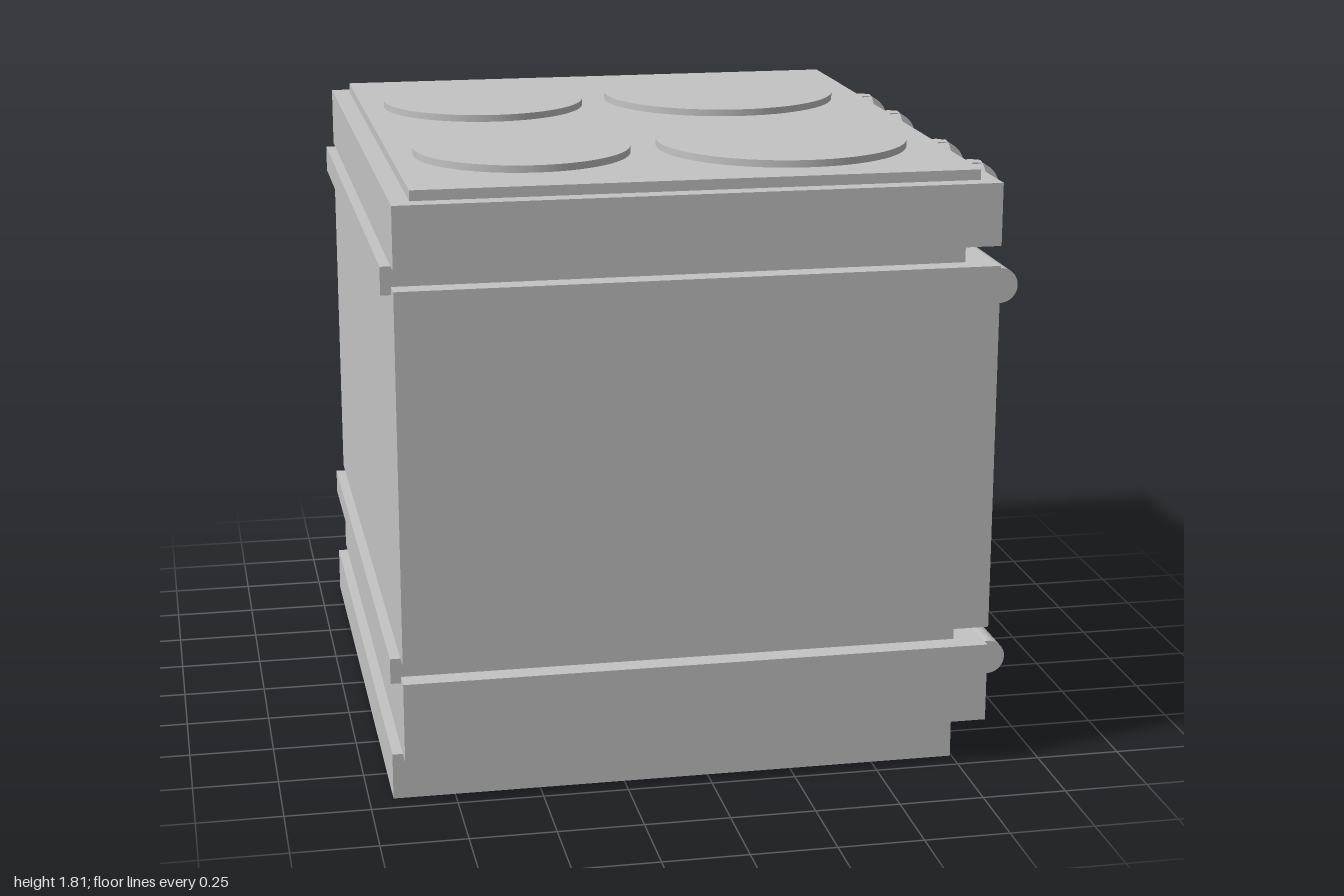
import * as THREE from 'three';

export function createModel() {
  const root = new THREE.Group();
  root.name = 'kitchenStove';
  const grey = new THREE.MeshStandardMaterial({ color: 0xc4c4c4 });
  grey.name = 'light grey';

  const add = (name, geometry, x = 0, y = 0, z = 0, parent = root) => {
    const mesh = new THREE.Mesh(geometry, grey);
    mesh.name = name;
    mesh.position.set(x, y, z);
    parent.add(mesh);
    return mesh;
  };

  // Box from its limits in x and y, centred on z
  const block = (name, x0, x1, y0, y1, halfZ) =>
    add(name, new THREE.BoxGeometry(x1 - x0, y1 - y0, halfZ * 2), (x0 + x1) / 2, (y0 + y1) / 2, 0);

  // Bar along z
  const bar = (name, r, length, x, y) =>
    add(name, new THREE.CylinderGeometry(r, r, length, 32).rotateX(Math.PI / 2), x, y, 0);

  // Rectangular ring of the oven body, running from x0 to x1
  const ring = (name, x0, x1, holeZ, holeY0, holeY1) => {
    const rect = (T, w, y0, y1) => {
      const p = new T();
      p.moveTo(-w, y0).lineTo(w, y0).lineTo(w, y1).lineTo(-w, y1).closePath();
      return p;
    };
    const shape = rect(THREE.Shape, 1, 0.43, 1.52);
    shape.holes.push(rect(THREE.Path, holeZ, holeY0, holeY1));
    const g = new THREE.ExtrudeGeometry(shape, { depth: x1 - x0, bevelEnabled: false });
    add(name, g.rotateY(Math.PI / 2), x0, 0, 0);
  };

  // Recessed plinth and the two recessed bands
  block('plinth', -0.93, 0.745, 0, 0.137, 0.935);
  block('lowerBand', -0.93, 0.745, 0.355, 0.43, 0.935);
  block('upperBand', -0.93, 0.745, 1.497, 1.578, 0.935);

  // Drawer, control panel and cooktop
  block('drawer', -0.9, 0.83, 0.137, 0.374, 1);
  block('controlPanel', -0.9, 0.83, 1.578, 1.76, 1);
  block('cooktop', -0.845, 0.78, 1.76, 1.79, 0.945);

  // Oven body with a stepped open window
  block('ovenBack', -0.9, 0.04, 0.43, 1.52, 1);
  ring('ovenCavity', 0.04, 0.77, 0.815, 0.643, 1.31);
  ring('ovenDoorFrame', 0.77, 0.83, 0.842, 0.617, 1.34);

  // Rack bars on the oven floor
  for (const x of [0.32, 0.575]) bar('rackBar', 0.033, 1.63, x, 0.676);

  // Door and drawer handles
  bar('ovenHandle', 0.052, 1.736, 0.875, 1.43);
  bar('drawerHandle', 0.052, 1.736, 0.875, 0.282);

  // Four burners, small ones at the back
  for (const [x, z, r] of [[-0.46, -0.418, 0.318], [-0.46, 0.437, 0.318],
    [0.315, -0.43, 0.372], [0.315, 0.451, 0.372]]) {
    add('burner', new THREE.CylinderGeometry(r, r, 0.025, 64), x, 1.7985, z);
  }

  // Knobs: a disc on the panel with a rounded grip across it
  for (const z of [0.643, 0.297, -0.239, -0.585]) {
    const knob = new THREE.Group();
    knob.name = 'knob';
    knob.position.set(0.83, 1.68, z);
    root.add(knob);
    add('knobDisc', new THREE.CylinderGeometry(0.078, 0.078, 0.043, 32).rotateZ(Math.PI / 2), 0.0215, 0, 0, knob);
    add('knobGrip', new THREE.CylinderGeometry(0.077, 0.077, 0.056, 32).rotateX(Math.PI / 2), 0.018, 0, 0, knob);
  }

  return root;
}
